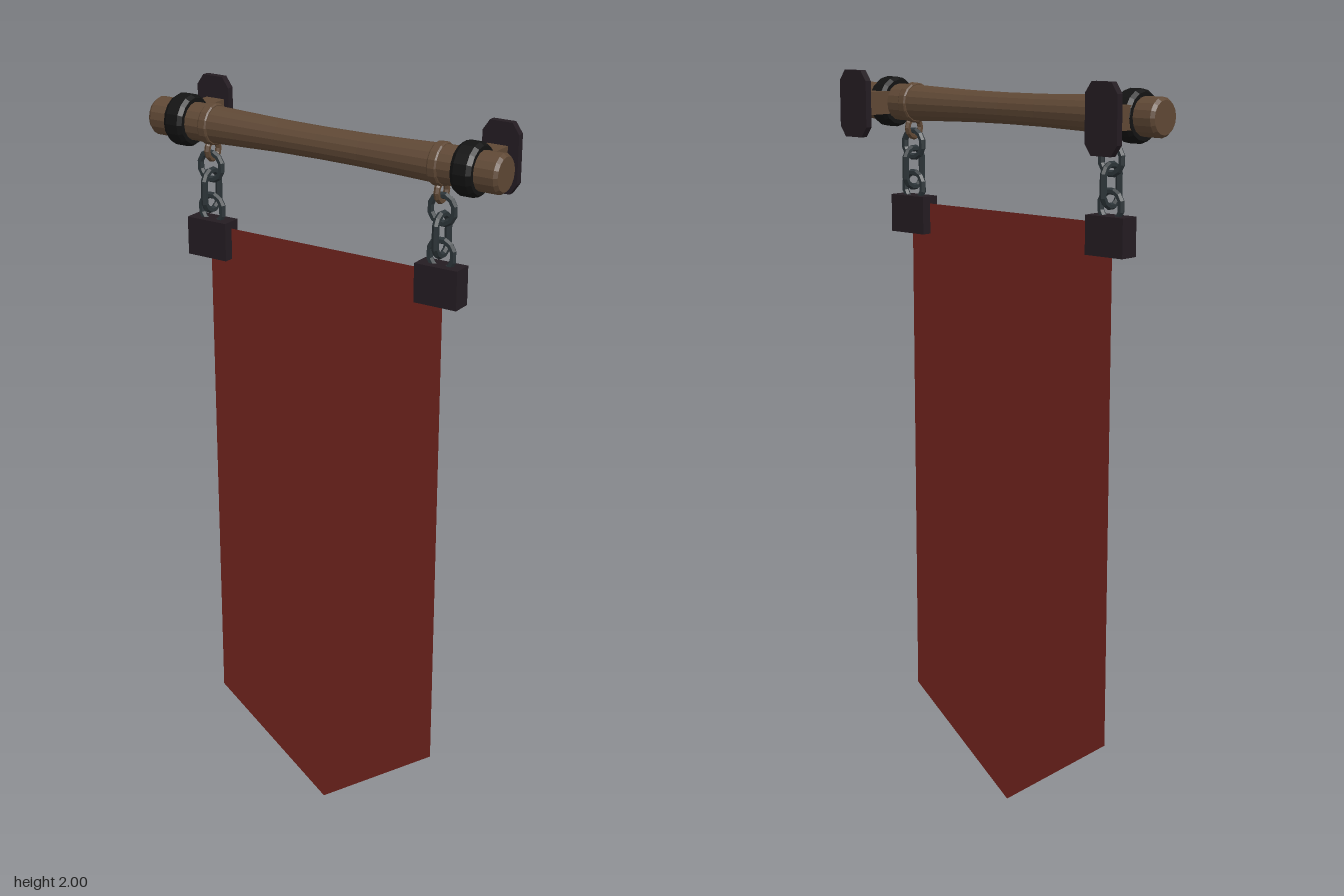
import * as THREE from 'three';

const ROD_Y = 1.912, Z = 0.036;
const mat = (color, extra = {}) => new THREE.MeshStandardMaterial({ color, flatShading: true, ...extra });

export function createModel() {
  const group = new THREE.Group();
  const wood = mat(0x5f4835), iron = mat(0x241c22), black = mat(0x131313), steel = mat(0x2c3438);
  const red = mat(0x70231d, { side: THREE.DoubleSide });

  const add = (name, geometry, material, x, y, z) => {
    const mesh = new THREE.Mesh(geometry, material);
    mesh.name = name;
    mesh.position.set(x, y, z);
    group.add(mesh);
    return mesh;
  };

  // Solid turned around the x axis from [radius, x] pairs
  const turned = (profile, sides = 16) =>
    new THREE.LatheGeometry(profile.map(([r, x]) => new THREE.Vector2(r, x)), sides).rotateZ(-Math.PI / 2);

  // Chain link: ring with its sides stretched apart vertically by a straight length
  const link = (radius, tube, stretch) => {
    const g = new THREE.TorusGeometry(radius, tube, 6, 12).rotateZ(Math.PI / 12);
    const p = g.attributes.position;
    for (let i = 0; i < p.count; i++) p.setY(i, p.getY(i) + Math.sign(p.getY(i)) * stretch);
    return g;
  };

  // Rod, waisted in the middle with chamfered ends
  const half = [[0.04, 0], [0.041, 0.12], [0.0445, 0.24], [0.048, 0.34], [0.049, 0.495], [0.042, 0.504], [0, 0.504]];
  const rod = [...half.slice(1).reverse().map(([r, x]) => [r, -x]), ...half];
  add('rod', turned(rod), wood, 0, ROD_Y, Z);

  // Wall plate: upright octagon
  const plate = new THREE.Shape([
    [-0.03, -0.087], [0.03, -0.087], [0.049, -0.06], [0.049, 0.06],
    [0.03, 0.087], [-0.03, 0.087], [-0.049, 0.06], [-0.049, -0.06],
  ].map(([x, y]) => new THREE.Vector2(x, y)));
  const plateGeometry = new THREE.ExtrudeGeometry(plate, { depth: 0.019, bevelEnabled: false });

  for (const [side, s] of [['left', 1], ['right', -1]]) {
    // Wall bracket
    add(side + 'WallPlate', plateGeometry, iron, s * 0.421, ROD_Y, -0.105);
    add(side + 'BracketArm', new THREE.BoxGeometry(0.055, 0.06, 0.125), wood, s * 0.414, ROD_Y, -0.025);
    add(side + 'Collar', turned([
      [0.045, -0.028], [0.059, -0.028], [0.066, -0.017], [0.066, 0.017], [0.059, 0.028], [0.045, 0.028],
    ]), black, s * 0.415, ROD_Y, Z);

    // Band around the rod with its hanging eye
    add(side + 'RodBand', turned([
      [0.045, -0.013], [0.05, -0.013], [0.053, -0.009], [0.053, 0.009], [0.05, 0.013], [0.045, 0.013],
    ]), wood, s * 0.332, ROD_Y, Z);
    add(side + 'HangingEye', new THREE.TorusGeometry(0.024, 0.008, 6, 12), wood, s * 0.335, 1.846, Z)
      .rotation.y = Math.PI / 2;

    // Chain of three links, each turned a quarter from the last
    add(side + 'UpperLink', link(0.033, 0.009, 0.002), steel, s * 0.34, 1.803, Z + 0.003);
    add(side + 'MiddleLink', link(0.032, 0.009, 0.02), steel, s * 0.34, 1.74, Z + 0.003)
      .rotation.y = Math.PI / 2;
    add(side + 'LowerLink', link(0.033, 0.009, 0.004), steel, s * 0.34, 1.69, Z + 0.003);

    // Clamp gripping the cloth corner
    add(side + 'Clamp', new THREE.BoxGeometry(0.119, 0.1, 0.054), iron, s * 0.34, 1.616, Z + 0.003);
  }

  // Banner cloth with a pointed lower edge
  const cloth = new THREE.Shape([
    [0, 0], [0.346, 0.26], [0.346, 1.647], [-0.346, 1.647], [-0.346, 0.26],
  ].map(([x, y]) => new THREE.Vector2(x, y)));
  add('banner', new THREE.ShapeGeometry(cloth), red, 0, 0, Z + 0.003);

  return group;
}
